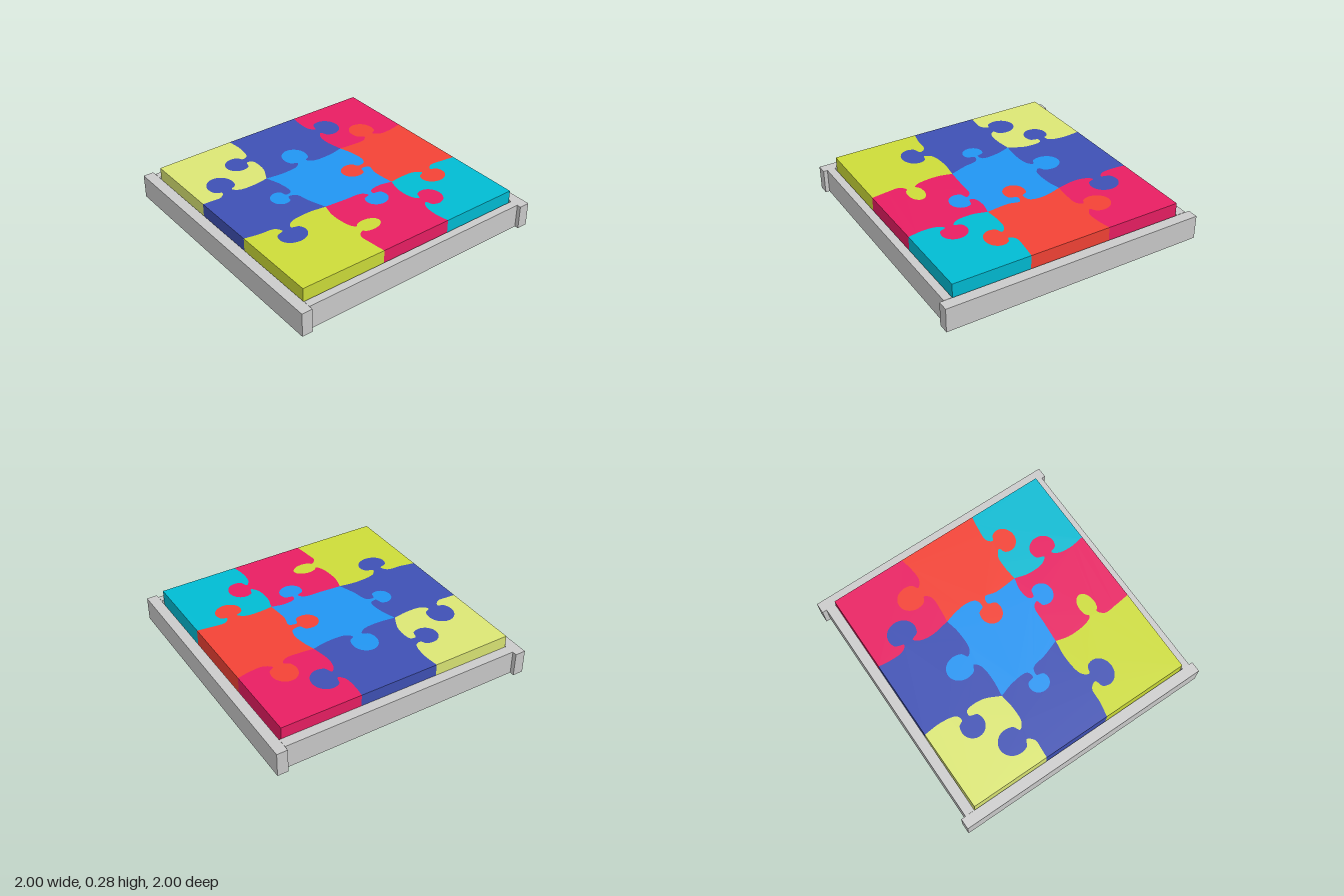
import * as THREE from 'three';
import { toCreasedNormals } from 'three/addons/utils/BufferGeometryUtils.js';

const PINK = 0xe91e63, RED = 0xf44336, TEAL = 0x00bcd4, INDIGO = 0x3f51b5;
const BLUE = 0x2196f3, LIME = 0xcddc39, PALE = 0xdce775;
const BOTTOM = 0.03, TOP = 0.275;

// Corners of the pieces, [x, z], row by row from back to front
const corners = [
  [[-0.89, -0.905], [-0.31, -0.905], [0.315, -0.905], [0.9, -0.905]],
  [[-0.89, -0.3], [-0.3, -0.31], [0.295, -0.315], [0.9, -0.305]],
  [[-0.89, 0.305], [-0.29, 0.375], [0.26, 0.255], [0.9, 0.26]],
  [[-0.885, 0.915], [-0.285, 0.915], [0.23, 0.915], [0.895, 0.915]],
];

// Seams: points before and after the knob as [along, across], and the knob as
// [start, end, tip, neckStart, neckEnd, neckLevel]
const acrossSeams = [ // running in x, [row line][column]
  [
    [[[-0.8, -0.29], [-0.69, -0.298]], [-0.73, -0.51, -0.515, -0.65, -0.58, -0.335], [[-0.54, -0.3], [-0.45, -0.285]]],
    [[[-0.2, -0.338], [-0.1, -0.348], [-0.035, -0.325]], [-0.08, 0.085, -0.1, -0.025, 0.02, -0.26], [[0.035, -0.318], [0.12, -0.302]]],
    [[[0.4, -0.287], [0.53, -0.297]], [0.51, 0.705, -0.495, 0.575, 0.64, -0.335], [[0.68, -0.3], [0.78, -0.287]]],
  ],
  [
    [[[-0.75, 0.295], [-0.635, 0.32]], [-0.67, -0.49, 0.53, -0.62, -0.56, 0.365], [[-0.55, 0.325], [-0.42, 0.318]]],
    [[[-0.17, 0.338], [-0.045, 0.335]], [-0.095, 0.06, 0.515, -0.03, 0, 0.385], [[0.015, 0.33], [0.13, 0.3]]],
    [[[0.37, 0.28], [0.53, 0.265]], [0.545, 0.67, 0.06, 0.575, 0.64, 0.235], [[0.68, 0.28], [0.78, 0.275]]],
  ],
];
const downSeams = [ // running in z, [column line][row]
  [
    [[[-0.8, -0.29], [-0.7, -0.29]], [-0.705, -0.515, -0.52, -0.65, -0.57, -0.33], [[-0.53, -0.29], [-0.42, -0.288]]],
    [[[-0.2, -0.278], [-0.04, -0.285]], [-0.06, 0.13, -0.52, -0.005, 0.07, -0.325], [[0.11, -0.288], [0.23, -0.275]]],
    [[[0.5, -0.275], [0.61, -0.285]], [0.59, 0.79, -0.52, 0.65, 0.73, -0.325], [[0.77, -0.28], [0.84, -0.28]]],
  ],
  [
    [[[-0.8, 0.3], [-0.69, 0.295]], [-0.71, -0.515, 0.49, -0.655, -0.575, 0.335], [[-0.53, 0.295], [-0.42, 0.285]]],
    [[[-0.22, 0.275], [-0.13, 0.29]], [-0.185, -0.01, 0.47, -0.115, -0.075, 0.325], [[-0.045, 0.285], [0.1, 0.272]]],
    [[[0.4, 0.243], [0.555, 0.265]], [0.52, 0.735, 0.48, 0.59, 0.66, 0.315], [[0.69, 0.265], [0.8, 0.252]]],
  ],
];

// Rounded knob from neck to neck
function knobPoints([start, end, tip, neck0, neck1, level]) {
  const points = [[neck0, level]];
  const middle = (start + end) / 2, radius = (end - start) / 2;
  const depth = (tip - level) * 0.55;
  for (let i = 0; i <= 12; i++) {
    const a = THREE.MathUtils.degToRad(-125 + (250 * i) / 12);
    points.push([middle + radius * Math.sin(a), tip - depth + depth * Math.cos(a)]);
  }
  points.push([neck1, level]);
  return points;
}

// Smooth seam between two corners
function seam(from, to, [before, knob, after], running) {
  const inner = [...before, ...knobPoints(knob), ...after]
    .map(([a, b]) => (running === 'x' ? [a, b] : [b, a]));
  const points = [from, ...inner, to].map(([x, z]) => new THREE.Vector3(x, 0, z));
  return new THREE.CatmullRomCurve3(points).getPoints(110).map((p) => [p.x, p.z]);
}

function acrossEdge(line, col) {
  const from = corners[line][col], to = corners[line][col + 1];
  return line % 3 ? seam(from, to, acrossSeams[line - 1][col], 'x') : [from, to];
}

function downEdge(line, row) {
  const from = corners[row][line], to = corners[row + 1][line];
  return line % 3 ? seam(from, to, downSeams[line - 1][row], 'z') : [from, to];
}

// One piece, bounded by the seams it shares with its neighbours
function makePiece(row, col, color) {
  const outline = [
    ...acrossEdge(row, col).slice(0, -1),
    ...downEdge(col + 1, row).slice(0, -1),
    ...acrossEdge(row + 1, col).reverse().slice(0, -1),
    ...downEdge(col, row).reverse().slice(0, -1),
  ].map(([x, z]) => new THREE.Vector2(x, -z));
  const geometry = new THREE.ExtrudeGeometry(new THREE.Shape(outline), {
    depth: TOP - BOTTOM, bevelEnabled: false,
  });
  geometry.rotateX(-Math.PI / 2).translate(0, BOTTOM, 0);
  const mesh = new THREE.Mesh(toCreasedNormals(geometry, 0.6), new THREE.MeshStandardMaterial({ color }));
  mesh.name = `piece row ${row + 1} column ${col + 1}`;
  return mesh;
}

export function createModel() {
  const model = new THREE.Group();
  model.name = 'framed jigsaw puzzle';

  // Frame bars
  const frame = new THREE.Group();
  frame.name = 'frame';
  const grey = new THREE.MeshStandardMaterial({ color: 0xcccccc });
  const bar = (name, w, h, d, x, z) => {
    const mesh = new THREE.Mesh(new THREE.BoxGeometry(w, h, d), grey);
    mesh.name = name;
    mesh.position.set(x, h / 2, z);
    frame.add(mesh);
  };
  bar('front bar', 2, 0.183, 0.08, 0, 0.96);
  bar('back bar', 2, 0.183, 0.08, 0, -0.96);
  bar('left bar', 0.06, 0.185, 1.84, 0.94, 0);
  bar('right bar', 0.075, 0.185, 1.84, -0.928, 0);
  model.add(frame);

  // Puzzle pieces
  const puzzle = new THREE.Group();
  puzzle.name = 'puzzle';
  const colors = [[PINK, RED, TEAL], [INDIGO, BLUE, PINK], [PALE, INDIGO, LIME]];
  colors.forEach((line, row) => line.forEach((color, col) => puzzle.add(makePiece(row, col, color))));
  model.add(puzzle);

  return model;
}
